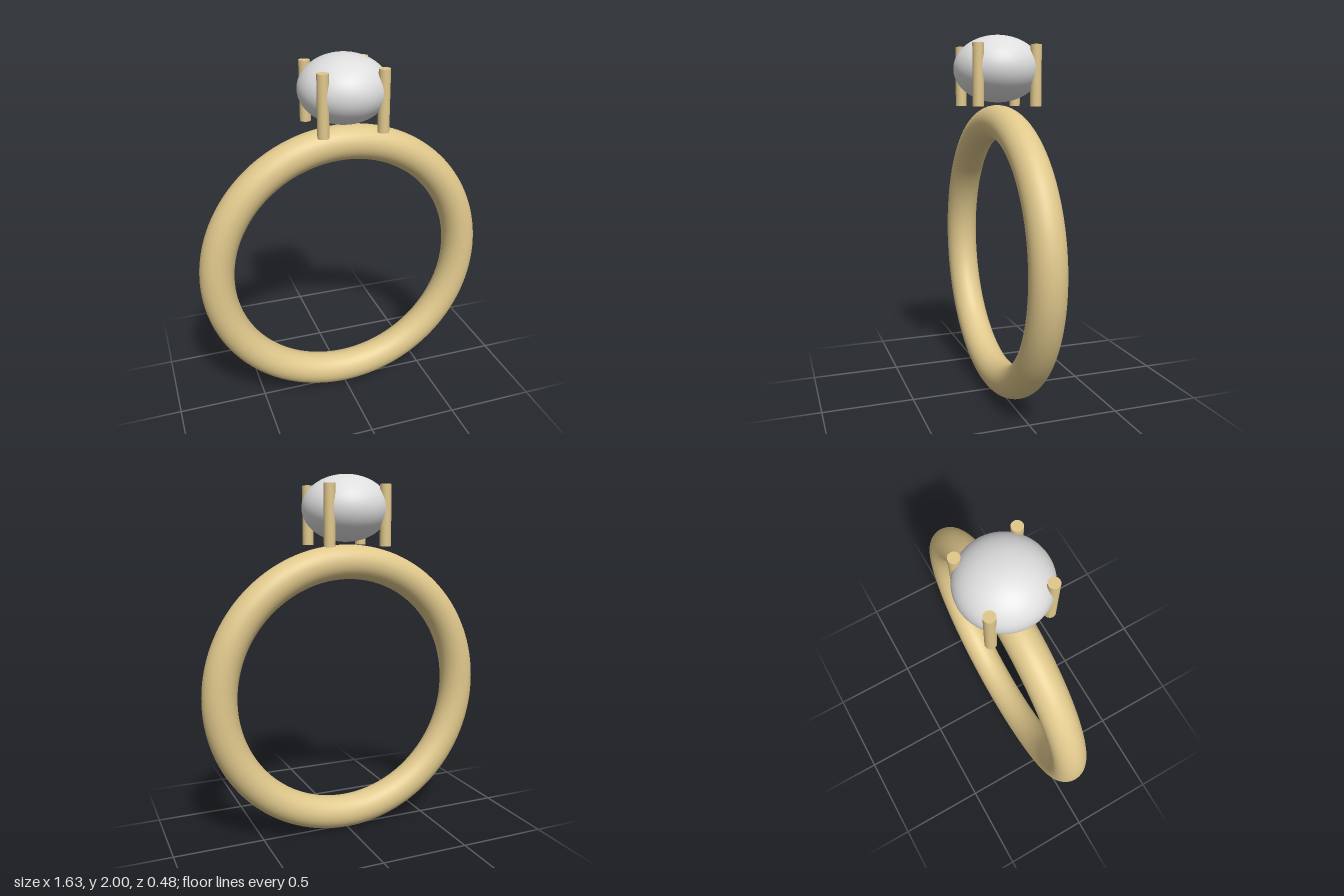
import * as THREE from 'three';

export function createModel() {
  const gold = new THREE.MeshStandardMaterial({ color: 0xe0c88c });
  gold.name = 'gold';
  const gem = new THREE.MeshStandardMaterial({ color: 0xdedede });
  gem.name = 'paleGem';

  const ring = new THREE.Group();
  ring.name = 'ring';

  const add = (name, geometry, material, x, y, z) => {
    const mesh = new THREE.Mesh(geometry, material);
    mesh.name = name;
    mesh.position.set(x, y, z);
    ring.add(mesh);
    return mesh;
  };

  // Round band standing upright
  add('band', new THREE.TorusGeometry(0.7215, 0.0935, 48, 160), gold, 0, 0.815, 0);

  // Flattened stone just above the band
  const stoneGeometry = new THREE.SphereGeometry(0.238, 64, 48).scale(1, 0.747, 1);
  add('stone', stoneGeometry, gem, 0, 1.822, 0);

  // Four upright prongs gripping the stone
  const prongGeometry = new THREE.CylinderGeometry(0.03, 0.03, 0.32, 32);
  for (const [side, x] of [['Left', 0.159], ['Right', -0.159]]) {
    for (const [end, z] of [['front', 0.159], ['back', -0.159]]) {
      add(`${end}${side}Prong`, prongGeometry, gold, x, 1.784, z);
    }
  }

  return ring;
}
